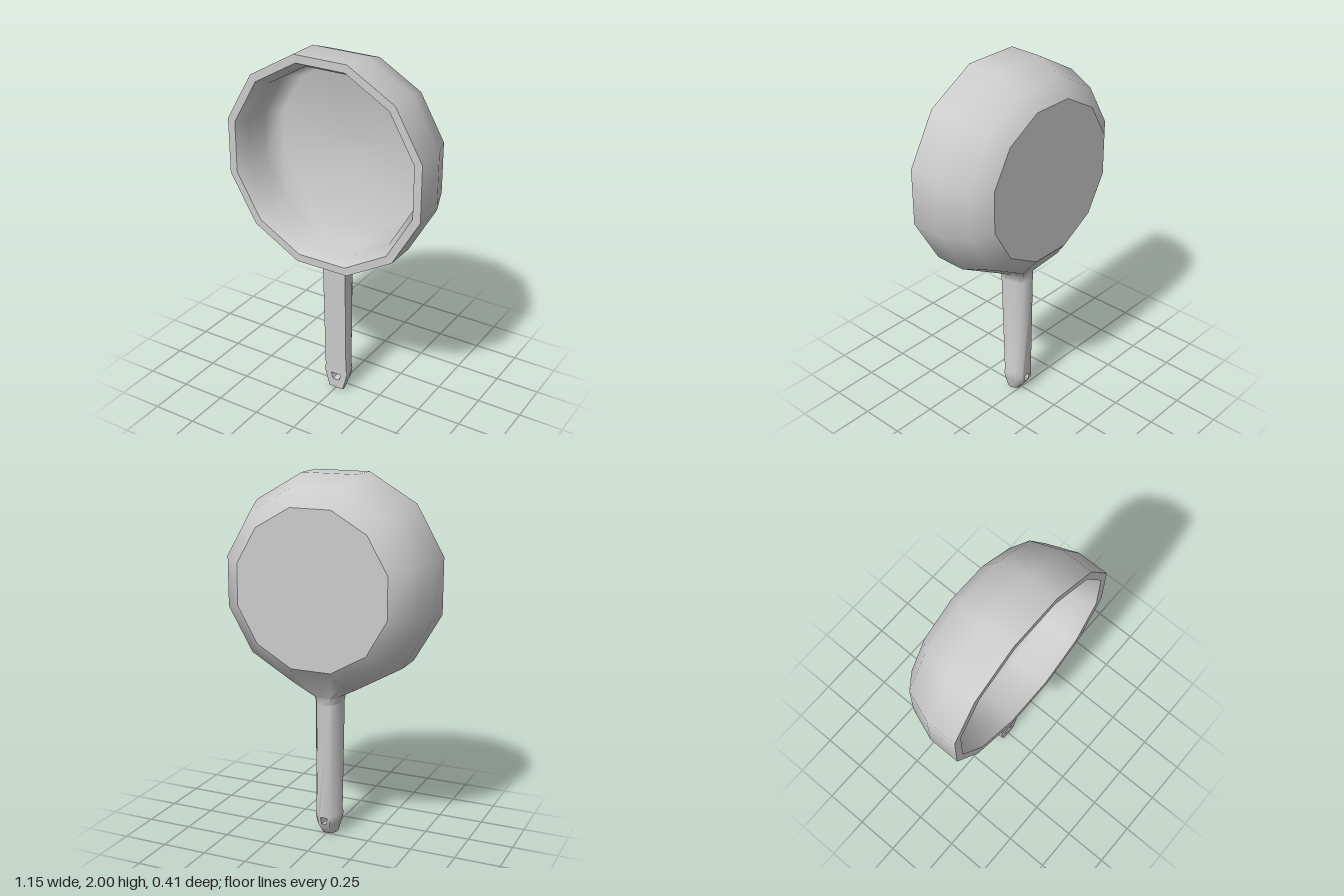
import * as THREE from 'three';
import { toCreasedNormals } from 'three/addons/utils/BufferGeometryUtils.js';

const SIDES = 12;
const CENTRE_Y = 1.425;
const mat = new THREE.MeshStandardMaterial({ color: 0xcccccc });

// Piecewise linear interpolation through [x, y] points
function lerpPoints(pts, x) {
  for (let i = 1; i < pts.length; i++) {
    const [x0, y0] = pts[i - 1], [x1, y1] = pts[i];
    if (x <= x1) return y0 + (y1 - y0) * (x - x0) / (x1 - x0);
  }
  return pts[pts.length - 1][1];
}

// One turned section of the pan; profile is [radius, z], starting beside the lowest facet
function turned(name, profile, facets = SIDES) {
  const pts = profile.map(([r, z]) => new THREE.Vector2(r, z));
  const geo = new THREE.LatheGeometry(pts, facets, Math.PI / SIDES, facets * 2 * Math.PI / SIDES);
  geo.rotateX(Math.PI / 2);
  geo.translate(0, CENTRE_Y, 0);
  const mesh = new THREE.Mesh(geo, mat);
  mesh.name = name;
  return mesh;
}

// Neck: fills the lowest facet of the pan wall and lofts down to the handle section
function makeNeck() {
  const sections = [
    [[0.154, 0.85, 0.205], [0.154, 0.85, 0.03], [0.138, 0.91, -0.135], [0.113, 1.003, -0.205]],
    [[0.077, 0.81, 0.085], [0.08, 0.81, 0.04], [0.068, 0.81, -0.005], [0.04, 0.81, -0.05]],
    [[0.07, 0.77, 0.084], [0.073, 0.77, 0.039], [0.062, 0.77, -0.005], [0.0365, 0.77, -0.05]],
  ];
  const pos = sections.flatMap((half) =>
    [...half, ...half.map(([x, y, z]) => [-x, y, z]).reverse()].flat());
  const index = [];
  for (let s = 0; s < 16; s += 8) {
    for (let i = 0; i < 8; i++) {
      const a = s + i, b = s + (i + 1) % 8;
      // Diagonals mirror from left to right
      if (i < 3) index.push(a, a + 8, b + 8, a, b + 8, b);
      else index.push(a, a + 8, b, a + 8, b + 8, b);
    }
  }
  const geo = new THREE.BufferGeometry();
  geo.setAttribute('position', new THREE.Float32BufferAttribute(pos, 3));
  geo.setIndex(index);
  const mesh = new THREE.Mesh(toCreasedNormals(geo, 1.2), mat);
  mesh.name = 'neck';
  return mesh;
}

// Handle: flat front, rounded back, hanging hole near the tip
function makeHandle() {
  const half = [[0.045, 0], [0.066, 0.07], [0.077, 0.115], [0.07, 0.14], [0.073, 0.77]];
  const outline = [...half, ...half.map(([x, y]) => [-x, y]).reverse()];
  const shape = new THREE.Shape(outline.map(([x, y]) => new THREE.Vector2(x, y)));
  const hole = [[-0.02, 0.055], [-0.033, 0.095], [0.033, 0.095], [0.02, 0.055]];
  shape.holes.push(new THREE.Path(hole.map(([x, y]) => new THREE.Vector2(x, y))));
  const geo = new THREE.ExtrudeGeometry(shape, { depth: 1, steps: 3, bevelEnabled: false });

  const widths = [[0, 0.5], [1 / 3, 0.85], [2 / 3, 1], [1, 0.96]];
  const backZ = [[0, 0.005], [0.07, -0.04], [0.77, -0.05]];
  const p = geo.attributes.position;
  for (let i = 0; i < p.count; i++) {
    const t = p.getZ(i);
    let x = p.getX(i), y = p.getY(i);
    if (Math.abs(x) < 0.035 && y > 0.05 && y < 0.1) {
      // The hole narrows and rises towards the back
      x *= 0.65 + 0.35 * t;
      y += 0.013 * (1 - t);
    } else {
      x *= lerpPoints(widths, t);
    }
    const front = 0.065 + 0.019 * y / 0.77;
    p.setXYZ(i, x, y, THREE.MathUtils.lerp(lerpPoints(backZ, y), front, t));
  }
  const mesh = new THREE.Mesh(toCreasedNormals(geo, 1.1), mat);
  mesh.name = 'handle';
  return mesh;
}

export function createModel() {
  const model = new THREE.Group();
  model.name = 'pan';
  model.add(
    turned('panBase', [[0, -0.205], [0.437, -0.205]]),
    turned('panOuterWall', [[0.437, -0.205], [0.533, -0.135], [0.595, 0.03], [0.595, 0.205]], SIDES - 1),
    turned('panRim', [[0.595, 0.205], [0.55, 0.205]]),
    // Sloped lip, steep wall, then a nearly flat floor
    turned('panInside', [[0.55, 0.205], [0.512, 0.13], [0.509, 0], [0.47, -0.13], [0, -0.15]]),
    makeNeck(),
    makeHandle(),
  );
  return model;
}
